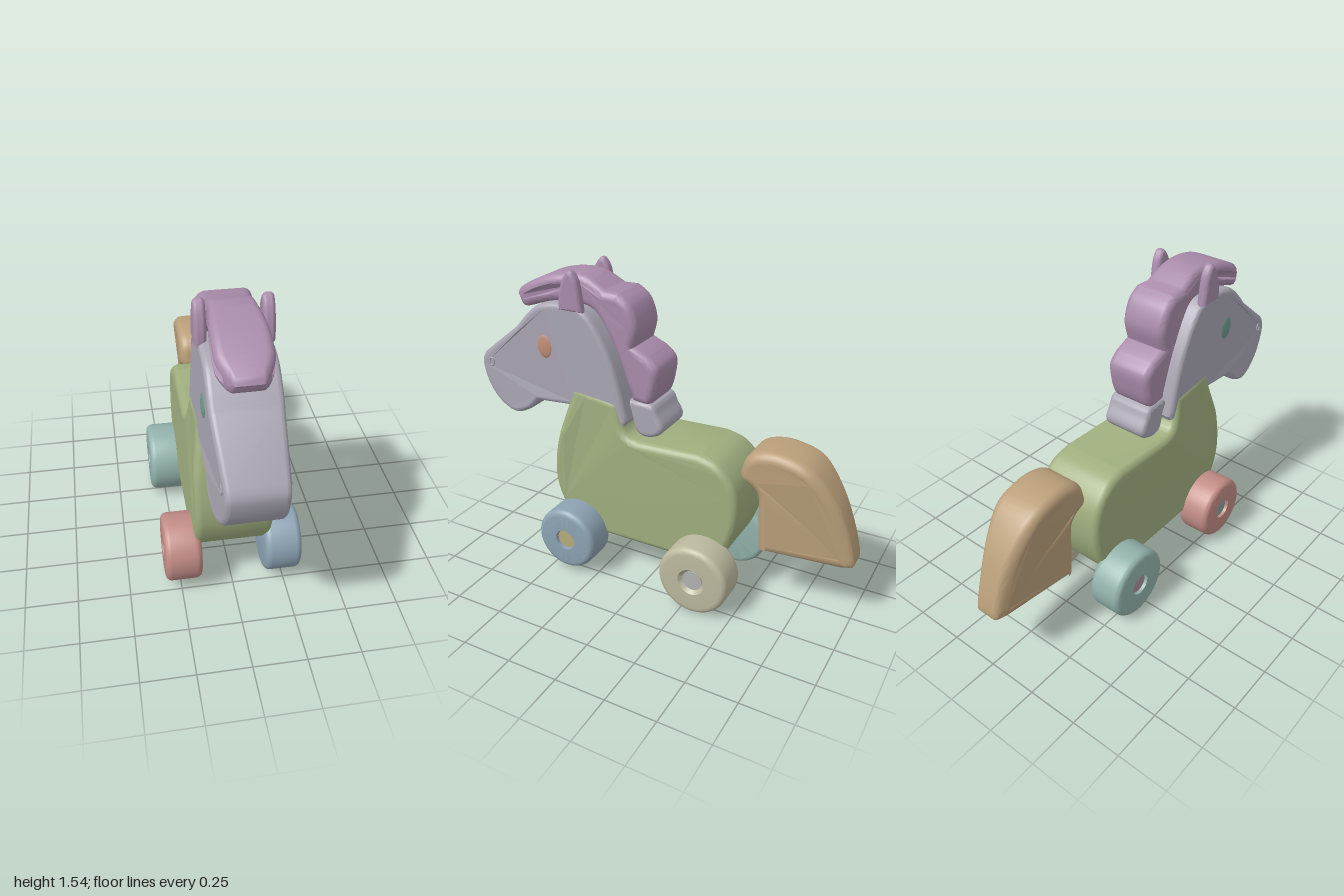
import * as THREE from 'three';
import { toCreasedNormals } from 'three/addons/utils/BufferGeometryUtils.js';

const { smoothstep, clamp } = THREE.MathUtils;

function addMesh(parent, name, geometry, color) {
  const mesh = new THREE.Mesh(geometry, new THREE.MeshStandardMaterial({ color }));
  mesh.name = name;
  parent.add(mesh);
  return mesh;
}

// Closed outline of [z, y] runs: each run is a smooth spline, runs meet at corners.
function outline(runs) {
  const shape = new THREE.Shape();
  runs.forEach((run, i) => {
    const pts = run.map(([z, y]) => new THREE.Vector2(z, y));
    if (i === 0) shape.moveTo(pts[0].x, pts[0].y);
    else shape.lineTo(pts[0].x, pts[0].y);
    if (pts.length > 1) shape.splineThru(pts.slice(1));
  });
  return shape;
}

// Rounded slab cut from a side outline; widthRule(y, z) scales its half width.
function slab(runs, halfWidth, bevel, widthRule = () => 1) {
  const depth = 2 * (halfWidth - bevel);
  const g = new THREE.ExtrudeGeometry(outline(runs), {
    depth, curveSegments: 5, bevelEnabled: true, bevelThickness: bevel,
    bevelSize: bevel, bevelOffset: -bevel, bevelSegments: 6,
  });
  g.translate(0, 0, -depth / 2).rotateY(-Math.PI / 2);
  const p = g.attributes.position;
  for (let i = 0; i < p.count; i++) p.setX(i, p.getX(i) * widthRule(p.getY(i), p.getZ(i)));
  // Smooth rounded edges, flat side faces
  g.computeVertexNormals();
  const flat = g.attributes.normal.clone();
  const smooth = toCreasedNormals(g, 0.7);
  const { start, count } = g.groups[0];
  for (let i = start; i < start + count; i++) {
    smooth.attributes.normal.setXYZ(i, flat.getX(i), flat.getY(i), flat.getZ(i));
  }
  smooth.clearGroups();
  return smooth;
}

// Rounded wheel with a dished hub, axle along x, outer face towards +x
function wheel(name, radius, width, hubRadius, dish, color, hubColor) {
  const group = new THREE.Group();
  group.name = name;
  const r = 0.03, h = width / 2;
  const pts = [new THREE.Vector2(0, -h)];
  for (const [cy, from] of [[-h + r, -Math.PI / 2], [h - r, 0]]) {
    for (let i = 0; i <= 6; i++) {
      const a = from + (i / 6) * Math.PI / 2;
      pts.push(new THREE.Vector2(radius - r + r * Math.cos(a), cy + r * Math.sin(a)));
    }
  }
  pts.push(new THREE.Vector2(hubRadius + dish, h), new THREE.Vector2(hubRadius, h - 0.02),
    new THREE.Vector2(hubRadius, h - 0.04), new THREE.Vector2(0, h - 0.04));
  const tyre = toCreasedNormals(new THREE.LatheGeometry(pts, 48), 0.5);
  addMesh(group, 'tyre', tyre.rotateZ(-Math.PI / 2), color);
  const hub = new THREE.CylinderGeometry(hubRadius, hubRadius, 0.04, 32).rotateZ(-Math.PI / 2);
  addMesh(group, 'hub', hub, hubColor).position.x = h - 0.035;
  return group;
}

export function createModel() {
  const horse = new THREE.Group();
  horse.name = 'toyHorse';
  const grey = 0xa9a6b3, purple = 0xa98cab;

  // Body with raised collar
  addMesh(horse, 'body', slab([
    [[0.42, 0.965], [0.36, 0.96], [0.18, 0.935]],
    [[0.175, 0.92], [0.15, 0.82], [0.115, 0.775], [0.06, 0.76]],
    [[-0.26, 0.77], [-0.36, 0.74], [-0.44, 0.65], [-0.466, 0.53], [-0.45, 0.39], [-0.39, 0.25], [-0.3, 0.19]],
    [[0.38, 0.19], [0.48, 0.28], [0.535, 0.4], [0.545, 0.52], [0.52, 0.67], [0.47, 0.83], [0.42, 0.965]],
  ], 0.183, 0.035, (y) => 1 - 0.17 * clamp((y - 0.7) / 0.26, 0, 1)), 0x9fae7e);

  // Head and neck, narrowing to the muzzle
  addMesh(horse, 'head', slab([
    [[0.64, 0.845], [0.7, 0.785], [0.8, 0.745], [0.9, 0.785], [0.97, 0.87], [1.0, 0.98], [0.975, 1.04]],
    [[0.75, 1.215], [0.67, 1.3], [0.6, 1.35], [0.5, 1.37], [0.38, 1.365], [0.29, 1.28], [0.2, 1.1], [0.13, 0.84]],
    [[0.2, 0.72]], [[0.4, 0.72]], [[0.45, 0.86]],
  ], 0.152, 0.025, (y, z) => 1 - 0.16 * clamp((z - 0.72) / 0.28, 0, 1)), grey);

  // Scalloped mane ending in a forelock
  addMesh(horse, 'mane', slab([
    [[0.785, 1.36], [0.75, 1.4], [0.6, 1.475], [0.46, 1.505], [0.36, 1.5], [0.26, 1.45]],
    [[0.19, 1.45], [0.125, 1.4], [0.09, 1.3], [0.11, 1.205]],
    [[0.04, 1.175], [-0.015, 1.12], [-0.01, 1.03], [0.015, 0.95], [0.05, 0.93], [0.12, 0.94]],
    [[0.15, 1.03], [0.2, 1.16], [0.28, 1.3], [0.36, 1.36], [0.52, 1.365], [0.62, 1.34], [0.74, 1.305], [0.785, 1.36]],
  ], 0.12, 0.038, (y, z) => 1 - 0.15 * Math.exp(-(((z - 0.38) / 0.12) ** 2))
    - 0.4 * smoothstep(z, 0.66, 0.79)), purple);

  // Last lock of the mane resting on the back
  addMesh(horse, 'lowerMane', slab([
    [[0.135, 0.94], [0.07, 0.945], [0.01, 0.935], [-0.015, 0.89], [-0.045, 0.83], [-0.02, 0.785],
      [0.05, 0.765], [0.1, 0.79], [0.12, 0.86], [0.135, 0.94]],
  ], 0.12, 0.025), grey);

  // Tail, thinning towards the tip
  addMesh(horse, 'tail', slab([
    [[-0.44, 0.69], [-0.465, 0.775], [-0.53, 0.82], [-0.64, 0.83], [-0.78, 0.785], [-0.89, 0.65],
      [-0.96, 0.49], [-0.998, 0.345], [-0.98, 0.32]],
    [[-0.94, 0.312]],
    [[-0.55, 0.305], [-0.54, 0.45], [-0.535, 0.58], [-0.51, 0.63], [-0.455, 0.66], [-0.44, 0.69]],
  ], 0.12, 0.045, (y, z) => 1 - 0.4 * smoothstep(-z, 0.74, 1)), 0xba9f7a);

  // Ears, eyes and nostrils on both sides
  const earRuns = [[[0.35, 1.345], [0.36, 1.43], [0.375, 1.5], [0.41, 1.54], [0.45, 1.5], [0.475, 1.42], [0.48, 1.345]]];
  for (const side of [1, -1]) {
    const label = side > 0 ? 'left' : 'right';
    const ear = addMesh(horse, label + 'Ear', slab(earRuns, 0.026, 0.022), purple);
    ear.position.x = side * 0.14;

    const eye = addMesh(horse, label + 'Eye', new THREE.SphereGeometry(1, 32, 16), side > 0 ? 0xc08d76 : 0x6f9a8e);
    eye.scale.set(0.012, 0.06, 0.043);
    eye.position.set(side * 0.146, 1.145, 0.577);

    const nostril = addMesh(horse, label + 'Nostril', new THREE.TorusGeometry(0.014, 0.004, 8, 24).rotateY(Math.PI / 2), grey);
    nostril.scale.y = 1.4;
    nostril.position.set(side * 0.134, 0.997, 0.928);
  }

  // Wheels: name, x side, z, y, radius, width, hub radius, dish, colours
  for (const [name, side, z, y, radius, width, hub, dish, color, hubColor] of [
    ['frontLeftWheel', 1, 0.4, 0.192, 0.163, 0.175, 0.05, 0.004, 0x8da3b3, 0xb5ad78],
    ['frontRightWheel', -1, 0.393, 0.19, 0.163, 0.175, 0.05, 0.004, 0xc18c85, 0x86a39c],
    ['backLeftWheel', 1, -0.31, 0.18, 0.178, 0.175, 0.05, 0.018, 0xbbb99e, 0xb2b2b4],
    ['backRightWheel', -1, -0.315, 0.18, 0.176, 0.175, 0.05, 0.004, 0x92b2ab, 0xa98c9c],
  ]) {
    const w = wheel(name, radius, width, hub, dish, color, hubColor);
    if (side < 0) w.rotation.y = Math.PI;
    w.position.set(side * 0.238, y, z);
    horse.add(w);
  }

  return horse;
}
